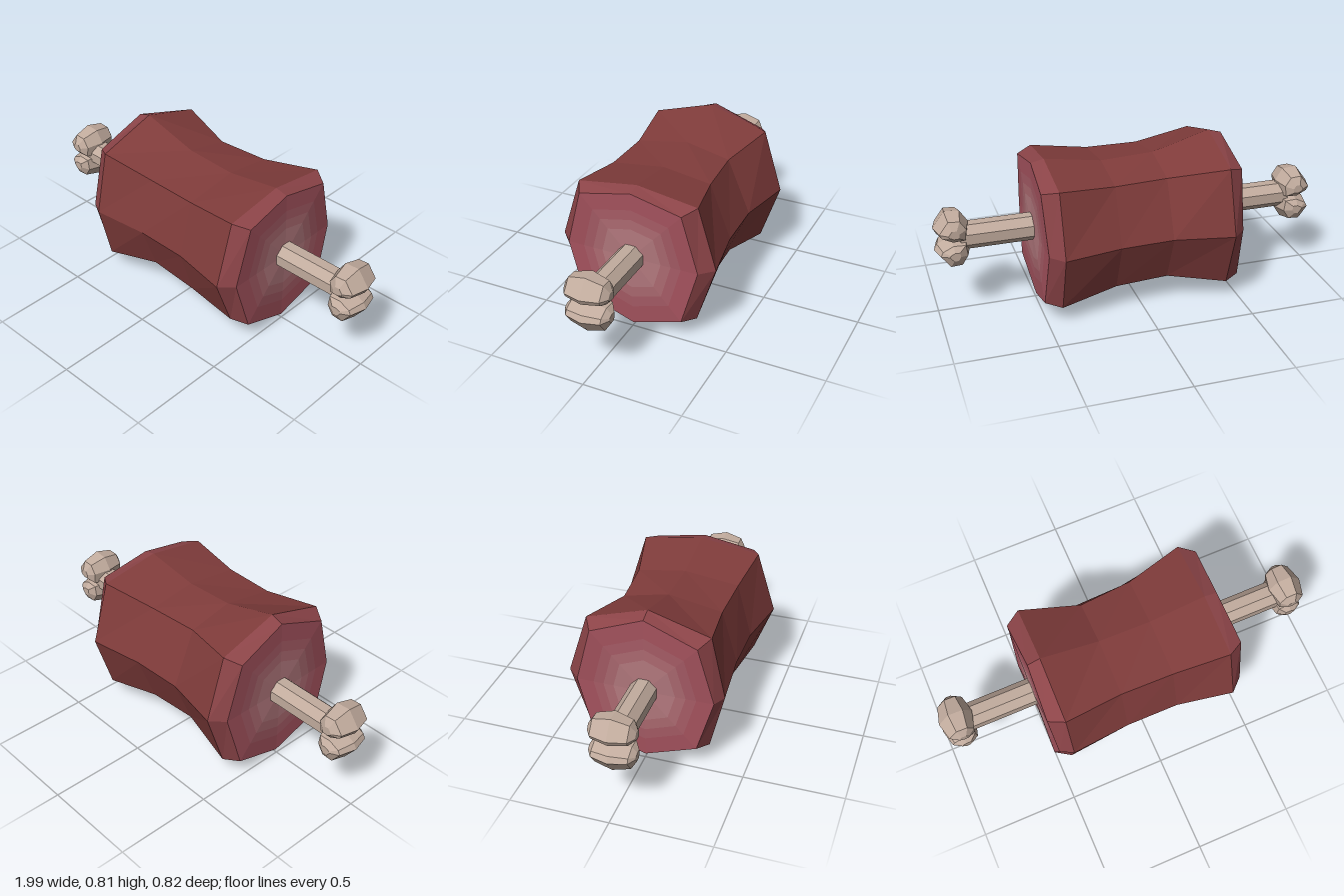
import * as THREE from 'three';
import { ConvexGeometry } from 'three/addons/geometries/ConvexGeometry.js';

const mat = (color) => new THREE.MeshStandardMaterial({ color, flatShading: true });
const CY = 0.405; // height of the bone axis

// Skin between consecutive rings; each ring is a loop of 8 [x, y, z] points
function loft(rings) {
  const pos = [];
  for (let r = 0; r < rings.length - 1; r++) {
    const a = rings[r], b = rings[r + 1];
    for (let i = 0; i < 8; i++) {
      const j = (i + 1) % 8;
      pos.push(...a[i], ...a[j], ...b[i], ...a[j], ...b[j], ...b[i]);
    }
  }
  const geo = new THREE.BufferGeometry();
  geo.setAttribute('position', new THREE.Float32BufferAttribute(pos, 3));
  geo.computeVertexNormals();
  return geo;
}

// Rings run top, upper front, front, lower front, bottom, lower back, back, upper back
const ring = (x, yz) => yz.map(([y, z]) => [x, y, z]);
const BODY = [
  ring(-0.43, [[0.815, 0], [0.72, 0.31], [0.4, 0.38], [0.105, 0.31], [0.003, 0], [0.1, -0.31], [0.4, -0.41], [0.72, -0.31]]),
  ring(-0.13, [[0.73, 0], [0.68, 0.275], [0.405, 0.355], [0.17, 0.27], [0.058, 0], [0.15, -0.25], [0.4, -0.35], [0.68, -0.23]]),
  ring(0.14, [[0.717, 0], [0.68, 0.28], [0.4, 0.355], [0.15, 0.275], [0.053, 0], [0.14, -0.26], [0.4, -0.36], [0.68, -0.25]]),
  ring(0.43, [[0.762, 0], [0.715, 0.31], [0.4, 0.408], [0.145, 0.31], [0.003, 0], [0.097, -0.315], [0.4, -0.41], [0.715, -0.315]]),
];
const endRing = (side, top) => [
  [top, 0], [0.695, 0.265], [0.4, 0.345], [0.125, 0.265],
  [0.02, 0], [0.11, -0.265], [0.4, -0.345], [0.695, -0.265],
].map(([y, z], i) => [side * (i % 2 ? 0.508 : 0.496), y, z]);
const shrink = (r, s, side) => r.map(([x, y, z]) =>
  [THREE.MathUtils.lerp(side * 0.505, x, s), CY + (y - CY) * s, z * s]);

export function createModel() {
  const model = new THREE.Group();
  const add = (parent, name, geo, material) => {
    const mesh = new THREE.Mesh(geo, material);
    mesh.name = name;
    parent.add(mesh);
    return mesh;
  };

  // Waisted eight-sided block of meat
  const meat = new THREE.Group();
  meat.name = 'meat';
  model.add(meat);
  add(meat, 'meatSide', loft(BODY), mat(0x803c3b));

  // Bevelled rims and cut faces, paling towards the bone
  const cutBands = [
    [1, 0.75, 0xa2515c], [0.75, 0.6, 0xa45a64],
    [0.6, 0.45, 0xaa686f], [0.45, 0, 0xb1777c],
  ];
  const rimMat = mat(0x8c4448);
  for (const side of [-1, 1]) {
    const end = endRing(side, side < 0 ? 0.795 : 0.747);
    const ordered = (a, b) => (side > 0 ? [a, b] : [b, a]);
    add(meat, 'meatRim', loft(ordered(side > 0 ? BODY[3] : BODY[0], end)), rimMat);
    for (const [outer, inner, color] of cutBands) {
      add(meat, 'cutFace',
        loft(ordered(shrink(end, outer, side), shrink(end, inner, side))), mat(color));
    }
  }

  // Octagonal bone shaft
  const bone = new THREE.Group();
  bone.name = 'bone';
  model.add(bone);
  const boneMat = mat(0xc2ac9e);
  const shaft = add(bone, 'boneShaft',
    new THREE.CylinderGeometry(0.07, 0.07, 1.74, 8).rotateY(Math.PI / 8).rotateZ(Math.PI / 2), boneMat);
  shaft.position.y = CY + 0.003;

  // Two faceted knuckles at each end of the bone
  const outline = [[0.82, 0.075], [0.86, 0.137], [0.935, 0.142], [0.996, 0.06],
    [0.98, 0.03], [0.91, -0.004], [0.83, 0.0]];
  const layers = [[0, 1], [0.088, 0.75], [0.113, 0.3]];
  for (const side of [-1, 1]) {
    for (const up of [-1, 1]) {
      const points = [];
      for (const [z, s] of layers) {
        for (const [x, y] of outline) {
          const px = side * (0.905 + (x - 0.905) * s);
          const py = CY + 0.003 + up * (0.055 + (y - 0.055) * s);
          points.push(new THREE.Vector3(px, py, z));
          if (z > 0) points.push(new THREE.Vector3(px, py, -z));
        }
      }
      add(bone, 'boneKnuckle', new ConvexGeometry(points), boneMat);
    }
  }
  return model;
}
